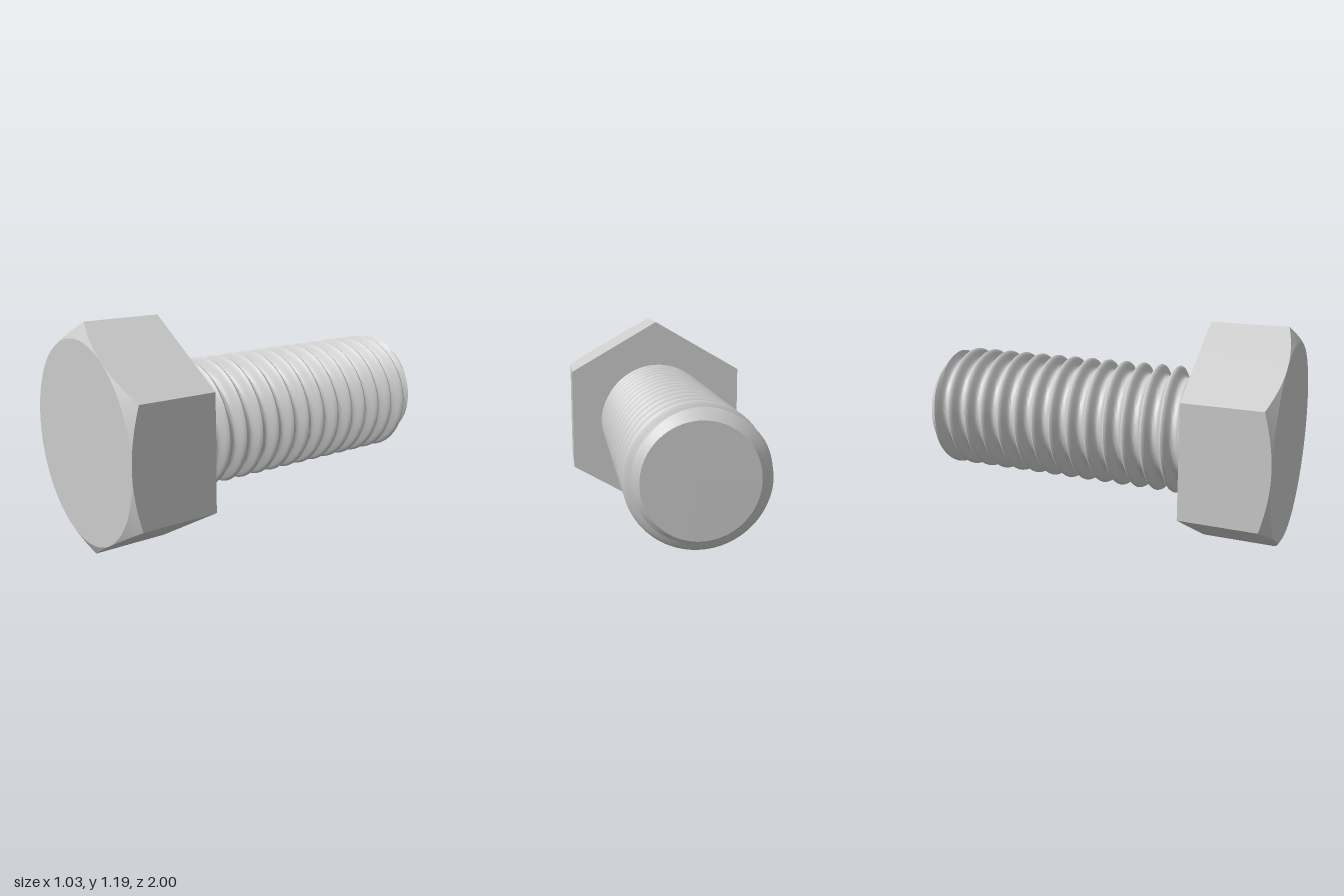
import * as THREE from 'three';
import { toCreasedNormals } from 'three/addons/utils/BufferGeometryUtils.js';

const SEG = 96;
const AXIS_Y = 0.597;
const APOTHEM = 0.517, HEAD_BACK = 0.555, FRONT = 1, TIP = -1;
const MAJOR = 0.343, MINOR = 0.283, PITCH = 0.1037, CREST_Z = 0.4826, TIP_R = 0.275;
const ROWS = 14; // rows per thread turn

// Surface from rows of points around the z axis. 'twist' is the number of rows
// by which the surface has advanced after one full turn.
function sweep(rows, twist, point, crease) {
  const pos = [], index = [];
  const all = rows + twist;
  for (let j = 0; j < all; j++)
    for (let i = 0; i < SEG; i++) {
      const a = (i / SEG) * Math.PI * 2;
      const [r, z] = point(a, j);
      pos.push(r * Math.cos(a), r * Math.sin(a), z);
    }
  const id = (i, j) => (i === SEG ? (j + twist) * SEG : j * SEG + i);
  const A = new THREE.Vector3(), B = new THREE.Vector3(), C = new THREE.Vector3();
  const tri = (a, b, c) => {
    A.fromArray(pos, a * 3);
    B.fromArray(pos, b * 3).sub(A);
    C.fromArray(pos, c * 3).sub(A);
    if (B.cross(C).length() > 1e-9) index.push(a, b, c); // skip collapsed faces
  };
  for (let j = 0; j < rows - 1; j++)
    for (let i = 0; i < SEG; i++) {
      const a = id(i, j), b = id(i + 1, j), c = id(i + 1, j + 1), d = id(i, j + 1);
      tri(a, b, c);
      tri(a, c, d);
    }
  const g = new THREE.BufferGeometry();
  g.setAttribute('position', new THREE.Float32BufferAttribute(pos, 3));
  g.setIndex(index);
  return toCreasedNormals(g, crease);
}

// Hexagonal head, its front corners cut by a shallow cone
function headGeometry() {
  return sweep(5, 0, (a, j) => {
    const step = Math.PI / 3;
    const local = a - Math.round(a / step) * step; // flats face +x and -x
    const hex = APOTHEM / Math.cos(local);
    return [
      [0, HEAD_BACK],
      [hex, HEAD_BACK],
      [hex, FRONT - (hex - APOTHEM) * 0.577],
      [APOTHEM, FRONT],
      [0, FRONT],
    ][j];
  }, 0.4);
}

// Thread radius: V profile with softened crest and root, bevelled at the tip
function threadRadius(a, z) {
  const t = (z - CREST_Z) / PITCH - (a - Math.PI / 2) / (Math.PI * 2);
  const d = Math.abs(t - Math.round(t));
  const f = THREE.MathUtils.clamp((0.39 - d) / 0.35, 0, 1);
  const soft = THREE.MathUtils.lerp(f, f * f * (3 - 2 * f), 0.5);
  return Math.min(MINOR + (MAJOR - MINOR) * soft, TIP_R + (z - TIP) * 1.15);
}

// Right-handed threaded shank, its rows following the helix
function shankGeometry() {
  const turns = Math.ceil((HEAD_BACK - TIP) / PITCH) + 2;
  const start = CREST_Z - PITCH * (Math.ceil((CREST_Z - TIP) / PITCH) + 1.25);
  return sweep(turns * ROWS + 1, ROWS, (a, j) => {
    const z = THREE.MathUtils.clamp(
      start + PITCH * (j / ROWS + a / (Math.PI * 2)), TIP, HEAD_BACK);
    return [threadRadius(a, z), z];
  }, 0.6);
}

export function createModel() {
  const model = new THREE.Group();
  model.name = 'hexBolt';
  const material = new THREE.MeshStandardMaterial({ color: 0xcccccc });
  const add = (name, geometry) => {
    const mesh = new THREE.Mesh(geometry, material);
    mesh.name = name;
    mesh.position.y = AXIS_Y;
    model.add(mesh);
    return mesh;
  };

  add('hexHead', headGeometry());
  add('threadedShank', shankGeometry());

  // Flat end of the shank, facing back
  add('shankTip', new THREE.CircleGeometry(TIP_R, SEG).rotateY(Math.PI)).position.z = TIP;

  return model;
}
